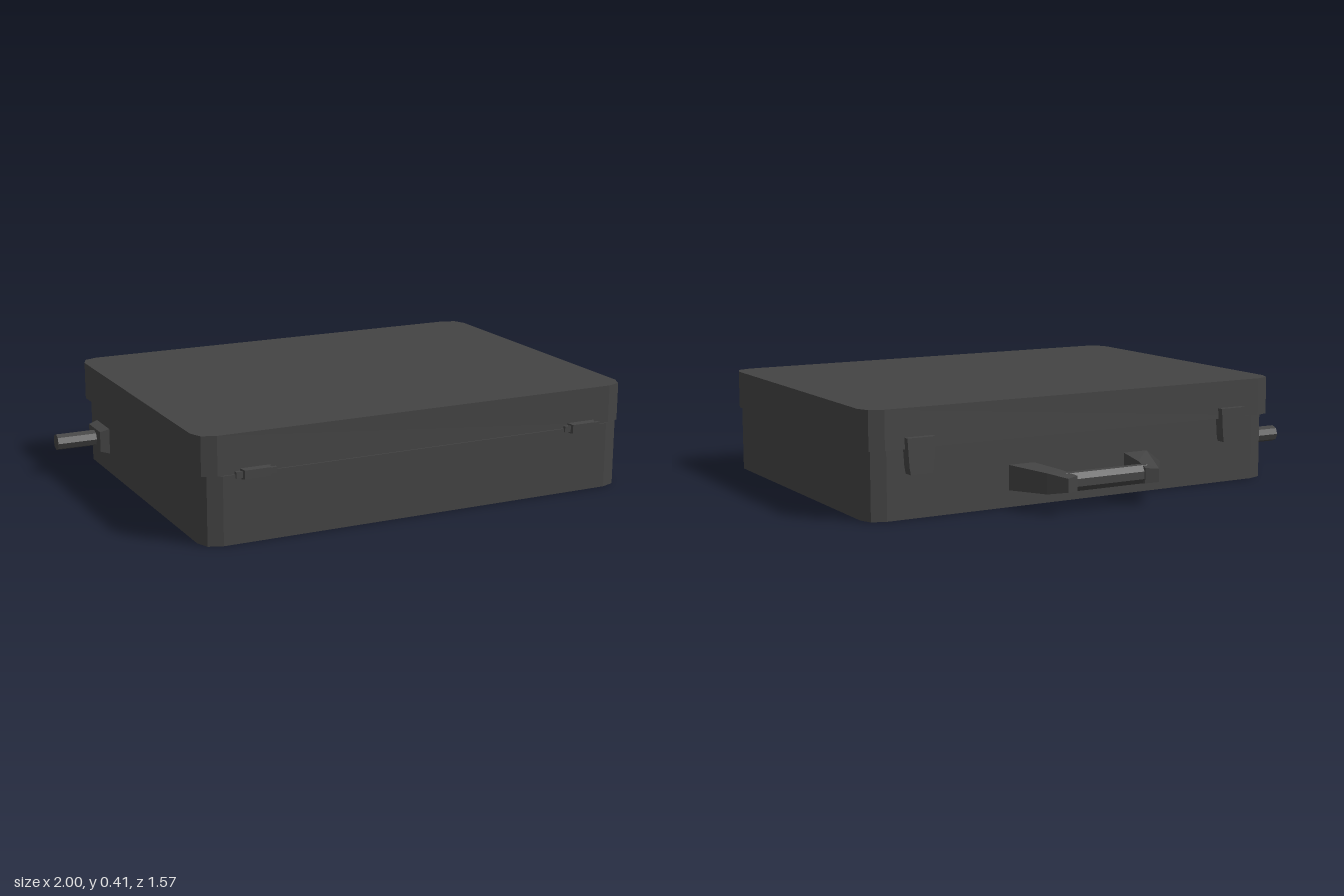
import * as THREE from 'three';

const material = new THREE.MeshStandardMaterial({ color: 0x444444, flatShading: true });

function add(parent, name, geometry, x = 0, y = 0, z = 0) {
  const mesh = new THREE.Mesh(geometry, material);
  mesh.name = name;
  mesh.position.set(x, y, z);
  parent.add(mesh);
  return mesh;
}

function prism(points, depth) {
  const shape = new THREE.Shape(points.map(([x, y]) => new THREE.Vector2(x, y)));
  return new THREE.ExtrudeGeometry(shape, { depth, bevelEnabled: false });
}

// Upright slab with two-facet corners, spanning the given x and z limits
function caseShell(x0, x1, z0, z1, height) {
  const w = (x1 - x0) / 2, d = (z1 - z0) / 2;
  const corner = [[0, 0.07], [0.02, 0.02], [0.075, 0]];
  const points = [];
  for (const [sx, sy] of [[-1, -1], [1, -1], [1, 1], [-1, 1]]) {
    const part = corner.map(([a, b]) => [sx * (w - a), sy * (d - b)]);
    points.push(...(sx * sy > 0 ? part : part.reverse()));
  }
  return prism(points, height).rotateX(-Math.PI / 2).translate((x0 + x1) / 2, 0, (z0 + z1) / 2);
}

// Box whose +z face is shrunk
function taperedBlock(w, h, d, sx, sy) {
  const g = new THREE.BoxGeometry(w, h, d);
  const p = g.attributes.position;
  for (let i = 0; i < p.count; i++) {
    if (p.getZ(i) > 0) p.setXY(i, p.getX(i) * sx, p.getY(i) * sy);
  }
  g.computeVertexNormals();
  return g;
}

// Handle arm: plan outline extruded upward, thinning away from the case
function handleArm(side) {
  const outline = [[0.315, 0.53], [0.205, 0.53], [0.172, 0.69], [0.15, 0.77],
    [0.2, 0.788], [0.25, 0.72]].map(([x, y]) => [side * x, y]);
  const g = prism(outline, 1).rotateX(-Math.PI / 2).translate(0, -0.5, 0);
  const p = g.attributes.position;
  for (let i = 0; i < p.count; i++) {
    const reach = -p.getZ(i);
    const thick = reach < 0.72 ? 0.098 - (reach - 0.53) * 0.1 : 0.079 - (reach - 0.72) * 0.4;
    p.setY(i, p.getY(i) * thick);
  }
  g.computeVertexNormals();
  return g;
}

export function createModel() {
  const model = new THREE.Group();
  model.name = 'briefcase';

  // Case halves
  add(model, 'base', caseShell(-0.8, 0.985, -0.543, 0.768, 0.262));
  add(model, 'lid', caseShell(-0.818, 0.998, -0.56, 0.762, 0.15), 0, 0.262, 0);

  for (const x of [-0.597, 0.793]) {
    // Hinges on the front seam
    const hinge = new THREE.Group();
    hinge.name = 'hinge';
    hinge.position.set(x, 0.261, 0.76);
    model.add(hinge);
    add(hinge, 'hingeLeaf', taperedBlock(0.16, 0.024, 0.024, 1, 1), 0, 0, 0.004);
    add(hinge, 'hingeBarrel', taperedBlock(0.125, 0.042, 0.03, 0.8, 0.8), 0, 0, 0.011);

    // Latches on the back, narrowing downward
    const latch = prism([[-0.045, 0.17], [0.045, 0.17], [0.05, 0.2], [0.057, 0.305],
      [-0.057, 0.305], [-0.05, 0.2]], 0.06);
    add(model, 'latch', latch, x - 0.008 + 0.004, 0, -0.586);
  }

  // Carrying handle
  const handle = new THREE.Group();
  handle.name = 'handle';
  handle.position.set(0.095, 0.113, 0);
  model.add(handle);
  for (const side of [-1, 1]) add(handle, 'handleArm', handleArm(side));
  const grip = new THREE.CylinderGeometry(0.038, 0.038, 0.36, 8).rotateZ(Math.PI / 2);
  grip.rotateX(Math.PI / 8);
  add(handle, 'grip', grip, 0, 0, -0.725);

  // Side fitting with a short rod
  const plate = taperedBlock(0.155, 0.108, 0.045, 0.9, 0.76).rotateY(-Math.PI / 2);
  add(model, 'sidePlate', plate, -0.815, 0.134, -0.328);
  const rod = new THREE.CylinderGeometry(0.033, 0.033, 0.18, 8).rotateZ(Math.PI / 2);
  add(model, 'sideRod', rod, -0.91, 0.134, -0.333);

  return model;
}
